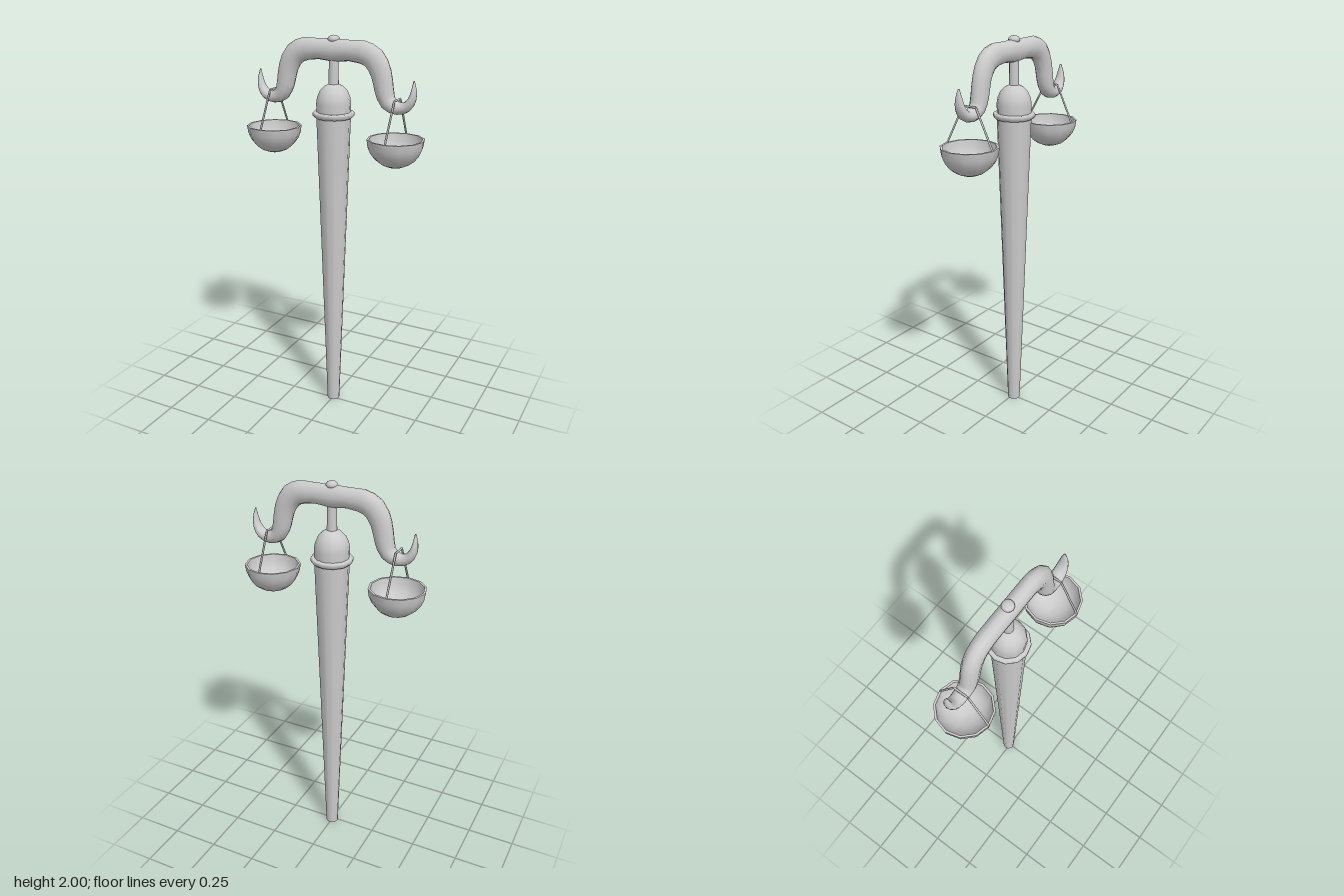
import * as THREE from 'three';

const AXIS_Z = -0.01; // the pole and beam sit slightly behind the pans
const SIDES = 12;

const material = new THREE.MeshStandardMaterial({ color: 0xcccccc });

function addMesh(parent, name, geometry, x = 0, y = 0, z = 0) {
  const mesh = new THREE.Mesh(geometry, material);
  mesh.name = name;
  mesh.position.set(x, y, z);
  parent.add(mesh);
  return mesh;
}

function lathe(points) {
  return new THREE.LatheGeometry(points.map(([r, y]) => new THREE.Vector2(r, y)), SIDES);
}

// Quarter-circle profile from (0, -r) up to (r, 0)
function bowlProfile(r, steps = 6) {
  return Array.from({ length: steps + 1 }, (_, i) => {
    const a = (i / steps) * Math.PI / 2;
    return [r * Math.sin(a), -r * Math.cos(a)];
  });
}

// Thin round rod between two points
function addRod(parent, name, a, b, radius) {
  const dir = b.clone().sub(a);
  const rod = addMesh(parent, name, new THREE.CylinderGeometry(radius, radius, dir.length(), 6));
  rod.position.copy(a).add(b).multiplyScalar(0.5);
  rod.quaternion.setFromUnitVectors(new THREE.Vector3(0, 1, 0), dir.normalize());
}

// Half of the beam: x, y, half width in the plane, half depth in z
const ARM = [
  [0, 1.928, 0.055, 0.041],
  [0.15, 1.928, 0.055, 0.041],
  [0.212, 1.9, 0.057, 0.041],
  [0.25, 1.835, 0.052, 0.041],
  [0.268, 1.755, 0.047, 0.041],
  [0.29, 1.702, 0.04, 0.039],
  [0.338, 1.679, 0.031, 0.036],
  [0.383, 1.69, 0.025, 0.033],
  [0.409, 1.727, 0.019, 0.027],
  [0.416, 1.77, 0.012, 0.018],
  [0.415, 1.812, 0.003, 0.004],
];

// Elliptical sections swept along the mirrored beam, tapering into both hooks
function beamGeometry() {
  const stations = [...ARM.slice(1).reverse().map(([x, ...rest]) => [-x, ...rest]), ...ARM];
  const path = new THREE.CatmullRomCurve3(stations.map(([x, y]) => new THREE.Vector3(x, y, 0)));
  const sizes = new THREE.CatmullRomCurve3(stations.map(([, , w, d]) => new THREE.Vector3(w, d, 0)));
  const rings = (stations.length - 1) * 2;
  const pos = [];
  const index = [];
  for (let i = 0; i <= rings; i++) {
    const t = i / rings;
    const p = path.getPoint(t);
    const s = sizes.getPoint(t);
    const tan = path.getTangent(t);
    for (let j = 0; j < SIDES; j++) {
      const a = (j / SIDES) * Math.PI * 2;
      const u = Math.cos(a) * s.x;
      pos.push(p.x - tan.y * u, p.y + tan.x * u, Math.sin(a) * s.y);
      if (i === rings) continue;
      const k = (j + 1) % SIDES;
      const [a0, a1, b0, b1] = [i * SIDES + j, i * SIDES + k, (i + 1) * SIDES + j, (i + 1) * SIDES + k];
      index.push(a0, a1, b0, a1, b1, b0);
    }
  }
  // Close the two hook tips
  const last = rings * SIDES;
  for (let j = 1; j < SIDES - 1; j++) {
    index.push(0, j + 1, j, last, last + j, last + j + 1);
  }
  const geometry = new THREE.BufferGeometry();
  geometry.setAttribute('position', new THREE.Float32BufferAttribute(pos, 3));
  geometry.setIndex(index);
  geometry.computeVertexNormals();
  return geometry;
}

function createPan(side) {
  const pan = new THREE.Group();
  pan.name = side > 0 ? 'leftPan' : 'rightPan';
  pan.position.set(side * 0.337, 1.533, 0);

  // Bowl with a thin wall
  const outer = 0.14;
  const inner = 0.129;
  addMesh(pan, 'bowlOutside', lathe(bowlProfile(outer)));
  addMesh(pan, 'bowlRim', lathe([[outer, 0], [inner, 0]]));
  addMesh(pan, 'bowlInside', lathe(bowlProfile(inner).reverse()));

  // Cord running from the rim, over the hook and back down
  const top = 0.186;
  const points = [[-0.004, 0.135], [top, 0.032], [top, -0.042], [-0.004, -0.135]]
    .map(([y, z]) => new THREE.Vector3(0, y, z));
  for (let i = 0; i < 3; i++) addRod(pan, 'cord', points[i], points[i + 1], 0.005);
  return pan;
}

export function createModel() {
  const model = new THREE.Group();
  model.name = 'balanceScaleStaff';

  // Tapered pole
  addMesh(model, 'pole', new THREE.CylinderGeometry(0.086, 0.033, 1.62, SIDES), 0, 0.81, AXIS_Z);

  // Collar
  addMesh(model, 'collar', lathe([
    [0.08, 1.602], [0.093, 1.604], [0.104, 1.615], [0.104, 1.627], [0.1, 1.632], [0.08, 1.633],
  ]), 0, 0, AXIS_Z);

  // Rounded cap on the pole
  addMesh(model, 'dome', lathe([
    [0.084, 1.62], [0.086, 1.675], [0.081, 1.705], [0.068, 1.735], [0.047, 1.757], [0.024, 1.768], [0, 1.77],
  ]), 0, 0, AXIS_Z);

  // Stem and its top knob
  addMesh(model, 'stem', new THREE.CylinderGeometry(0.022, 0.025, 0.22, SIDES), 0, 1.865, AXIS_Z);
  addMesh(model, 'knob', new THREE.SphereGeometry(0.029, SIDES, 8), 0, 1.981, AXIS_Z).scale.y = 0.65;

  // Beam with hooked ends
  addMesh(model, 'beam', beamGeometry(), 0, 0, AXIS_Z);

  for (const side of [-1, 1]) model.add(createPan(side));
  return model;
}
